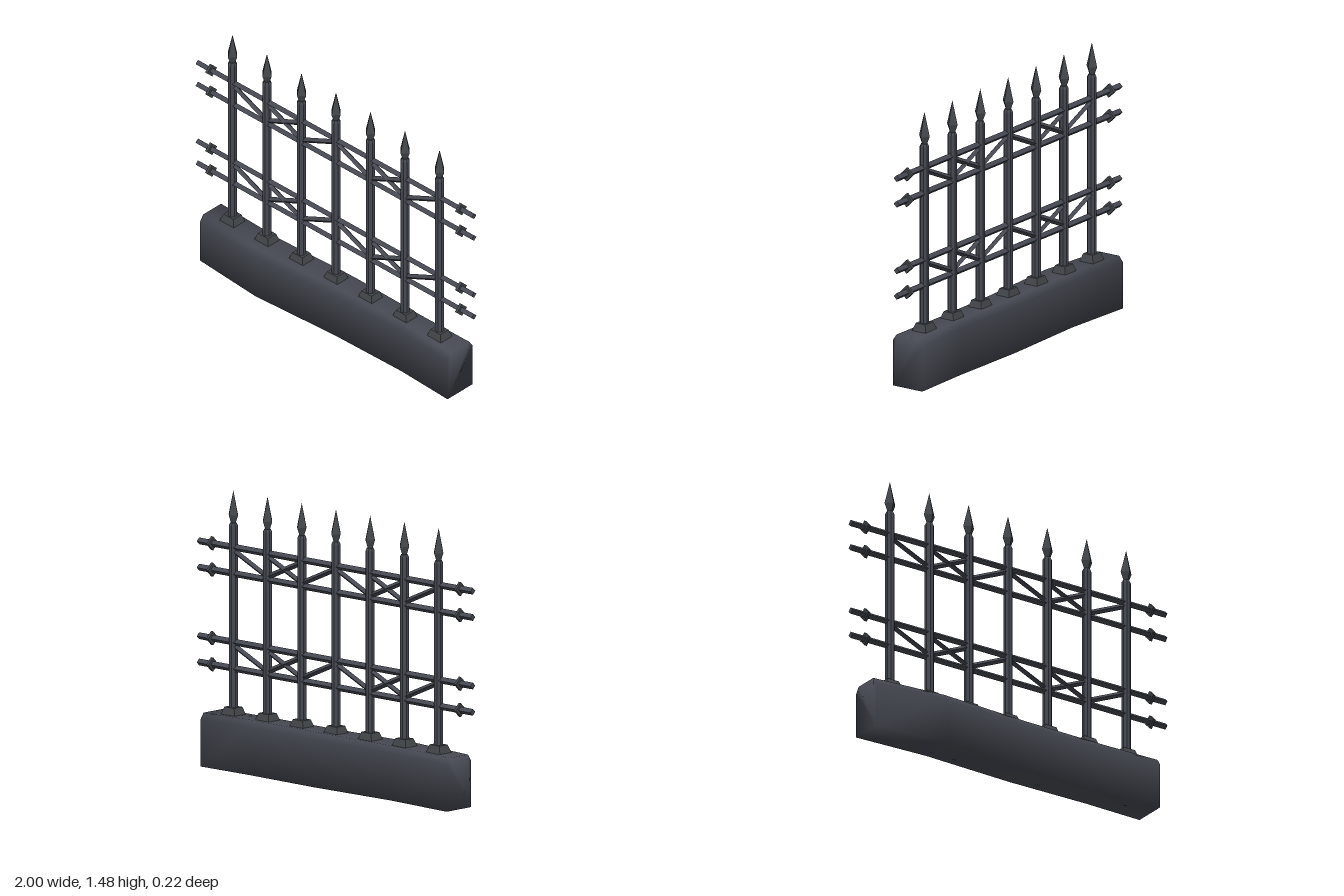
import * as THREE from 'three';

const Z = -0.014; // plane of the ironwork

export function createModel() {
  const model = new THREE.Group();
  const iron = new THREE.MeshStandardMaterial({ color: 0x464952 });
  iron.name = 'dark iron';
  const forged = new THREE.MeshStandardMaterial({ color: 0x42464a });
  forged.name = 'forged iron';

  const add = (name, geometry, material, parent = model) => {
    const mesh = new THREE.Mesh(geometry, material);
    mesh.name = name;
    parent.add(mesh);
    return mesh;
  };
  // Faceted prism with one flat normal per face
  const prism = (rTop, rBottom, h, sides, turn = 0) => {
    const g = new THREE.CylinderGeometry(rTop, rBottom, h, sides).rotateY(turn).toNonIndexed();
    g.computeVertexNormals();
    return g;
  };
  // Diamond-section bar between two points in the fence plane
  const bar = (name, x1, y1, x2, y2, r, material, parent) => {
    const dx = x2 - x1, dy = y2 - y1;
    const m = add(name, prism(r, r, Math.hypot(dx, dy), 4), material, parent);
    m.position.set((x1 + x2) / 2, (y1 + y2) / 2, Z);
    m.rotation.z = Math.atan2(dy, dx) - Math.PI / 2;
    return m;
  };

  // Uneven plinth: cross-sections as [x, front z, back z, top y]
  const sections = [
    [-0.9, 0.075, -0.108, 0.283], [-0.47, 0.107, -0.088, 0.286], [0.07, 0.074, -0.107, 0.289],
    [0.55, 0.066, -0.1, 0.289], [0.9, 0.082, -0.108, 0.283],
  ];
  const points = [], index = [], n = 6;
  for (const [x, f, b, t] of sections) {
    const loop = [[0, f], [t - 0.035, f], [t, f - 0.024], [t, b + 0.024], [t - 0.035, b], [0, b]];
    for (const [y, z] of loop) points.push(x, y, z);
  }
  for (let i = 0; i < sections.length - 1; i++) {
    for (let j = 0; j < n; j++) {
      const a = i * n + j, d = i * n + (j + 1) % n;
      index.push(a, a + n, d + n, a, d + n, d);
    }
  }
  const last = (sections.length - 1) * n;
  for (let k = 1; k < n - 1; k++) {
    index.push(0, k, k + 1, last, last + k + 1, last + k);
  }
  const plinth = new THREE.BufferGeometry();
  plinth.setAttribute('position', new THREE.Float32BufferAttribute(points, 3));
  plinth.setIndex(index);
  plinth.computeVertexNormals();
  add('plinth', plinth, iron);

  // Upright posts with feet and spear heads
  const shaft = prism(0.0254, 0.0254, 1.01, 8, Math.PI / 8);
  const shoulder = prism(0.018, 0.0254, 0.015, 8, Math.PI / 8);
  const spearNeck = prism(0.034, 0.014, 0.05, 4);
  const spearTip = prism(0, 0.034, 0.13, 4);
  const foot = prism(0.036 * Math.SQRT2, 0.056 * Math.SQRT2, 0.055, 4, Math.PI / 4);
  foot.scale(1, 1, 0.85);
  for (let i = -3; i <= 3; i++) {
    const post = new THREE.Group();
    post.name = 'post';
    post.position.set(i * 0.25, 0, Z);
    model.add(post);
    add('postFoot', foot, forged, post).position.y = 0.2975;
    add('postShaft', shaft, iron, post).position.y = 0.785;
    add('postShoulder', shoulder, iron, post).position.y = 1.2975;
    add('spearNeck', spearNeck, forged, post).position.y = 1.323;
    add('spearTip', spearTip, forged, post).position.y = 1.413;
  }

  // Two bands, each a pair of rails with collars and crossing braces
  for (const [low, high] of [[0.53, 0.67], [1.035, 1.175]]) {
    const band = new THREE.Group();
    band.name = 'railBand';
    model.add(band);
    for (const y of [low, high]) {
      bar('rail', -1, y, 1, y, 0.018, iron, band);
      for (const side of [-1, 1]) {
        bar('railCollar', side * 0.905 - 0.008, y, side * 0.905 + 0.008, y, 0.037, forged, band);
      }
    }
    for (const x of [-0.75, 0]) {
      for (const s of [0, 0.25]) {
        bar('braceFalling', x + s, high - 0.015, x + s + 0.25, low + 0.015, 0.015, iron, band);
        bar('braceRising', x + s + 0.25, low + 0.015, x + s + 0.5, high - 0.015, 0.015, iron, band);
      }
    }
  }
  return model;
}
